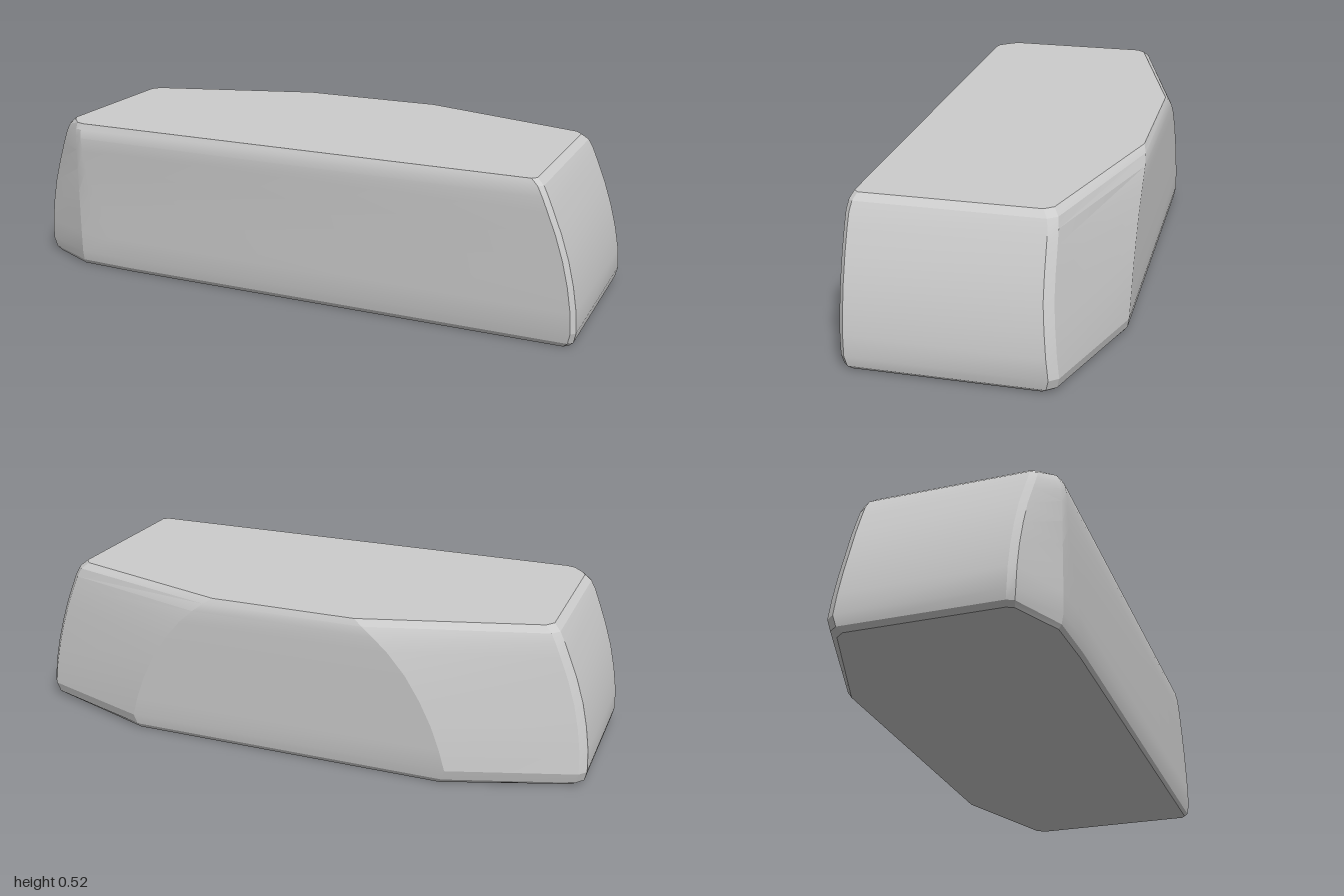
import * as THREE from 'three';
import { toCreasedNormals } from 'three/addons/utils/BufferGeometryUtils.js';

// Level: height, end x, front/back z, back facet half width, back corner z,
// start of the front left facet, its end z
const levels = [
  [0.0, 0.975, 0.388, 0.55, -0.235, -0.60, 0.295],
  [0.015, 0.99, 0.397, 0.56, -0.25, -0.60, 0.30],
  [0.05, 0.998, 0.403, 0.57, -0.258, -0.62, 0.305],
  [0.12, 0.994, 0.404, 0.55, -0.25, -0.65, 0.307],
  [0.20, 0.981, 0.404, 0.52, -0.242, -0.69, 0.31],
  [0.28, 0.962, 0.404, 0.48, -0.235, -0.73, 0.315],
  [0.36, 0.936, 0.404, 0.43, -0.233, -0.76, 0.32],
  [0.43, 0.908, 0.404, 0.37, -0.232, -0.77, 0.328],
  [0.475, 0.889, 0.403, 0.32, -0.231, -0.775, 0.333],
  [0.505, 0.873, 0.398, 0.28, -0.226, -0.775, 0.333],
  [0.525, 0.85, 0.388, 0.25, -0.21, -0.77, 0.328],
];

// Outline of one level, counterclockwise from above
function outline([y, x, z, back, corner, facet, side]) {
  return [
    [-0.8, z - 0.008], [facet, z],
    [x - 0.015, z], [x, z - 0.015],
    [x, corner + 0.02], [x - 0.022, corner - 0.008],
    [back, -z], [-back, -z],
    [-x + 0.022, corner - 0.008], [-x, corner + 0.02],
    [-x, side - 0.015], [-x + 0.012, side + 0.008],
  ].map(([px, pz]) => [px, y, pz]);
}

// Closed loft through the levels, with flat ends
function loft(rings) {
  const n = rings[0].length;
  const index = [];
  for (let j = 0; j < rings.length - 1; j++) {
    for (let i = 0; i < n; i++) {
      const a = j * n + i, b = j * n + (i + 1) % n;
      index.push(a, b, b + n, a, b + n, a + n);
    }
  }
  const top = (rings.length - 1) * n;
  for (let i = 1; i < n - 1; i++) {
    index.push(top, top + i, top + i + 1, 0, i + 1, i);
  }
  const geometry = new THREE.BufferGeometry();
  geometry.setAttribute('position', new THREE.Float32BufferAttribute(rings.flat(2), 3));
  geometry.setIndex(index);
  return toCreasedNormals(geometry, 0.3);
}

export function createModel() {
  const group = new THREE.Group();
  group.name = 'facetedBlock';
  // Solid block with curved ends and chamfered corners
  const body = new THREE.Mesh(
    loft(levels.map(outline)),
    new THREE.MeshStandardMaterial({ color: 0xcccccc })
  );
  body.name = 'body';
  group.add(body);
  return group;
}
